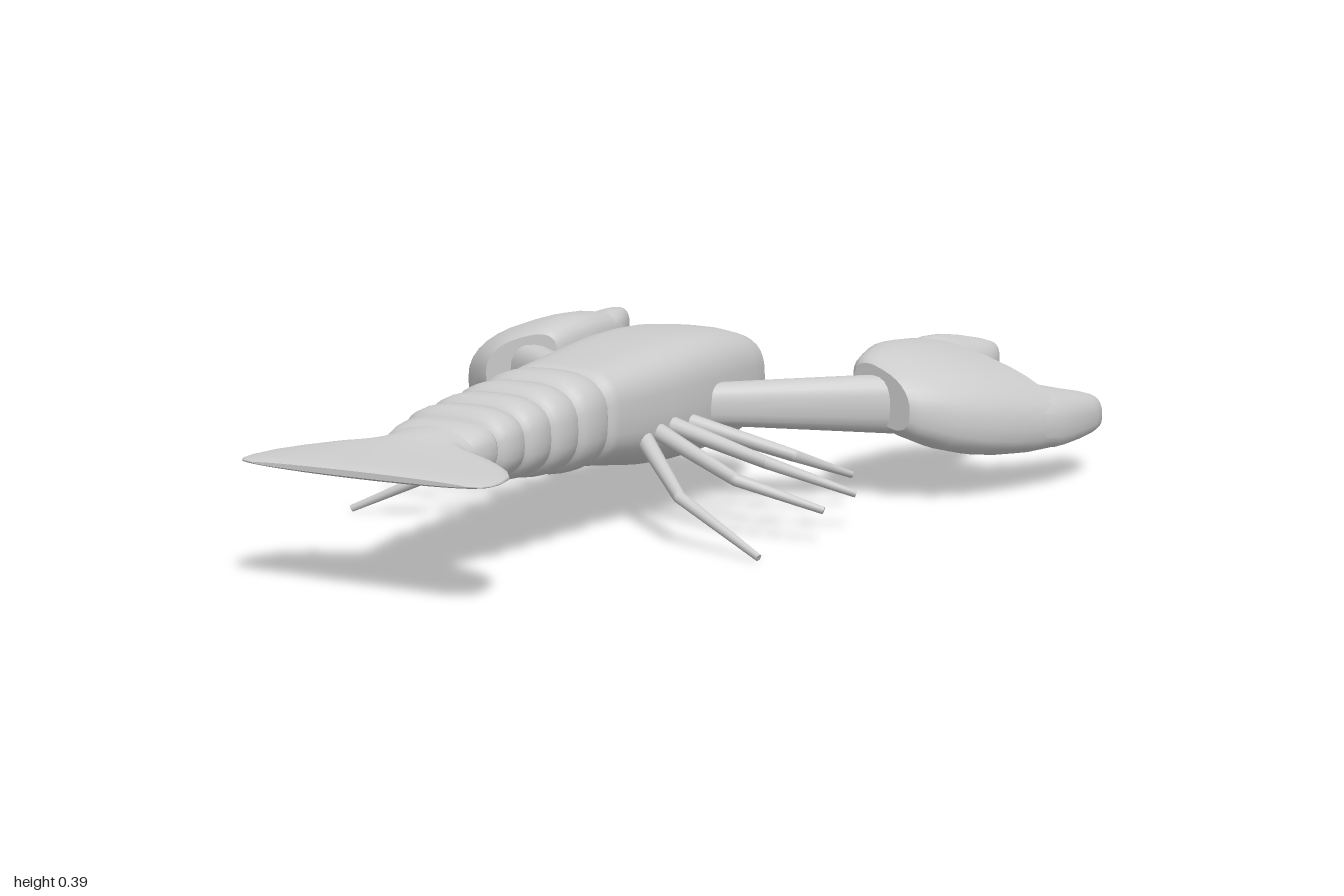
import * as THREE from 'three';

const material = new THREE.MeshStandardMaterial({ color: 0xcccccc });

// Closed skin over rounded cross-sections stacked along z.
// Ring: z, x, y (centre), w, h (half sizes), n (squareness above), nb (below), tilt (dy/dx), skew (dz/dx)
function loft(rings, sides = 28) {
  if (rings[0].z > rings[rings.length - 1].z) rings = [...rings].reverse();
  const pos = [], index = [];
  const pow = (v, n) => Math.sign(v) * Math.abs(v) ** (2 / n);
  const addRing = ({ z, x = 0, y = 0, w, h, n = 2, nb = n, tilt = 0, skew = 0 }) => {
    for (let j = 0; j < sides; j++) {
      const a = (j / sides) * Math.PI * 2, s = Math.sin(a);
      const k = s < 0 ? nb : n;
      const dx = w * pow(Math.cos(a), k);
      pos.push(x + dx, y + h * pow(s, k) + tilt * dx, z + skew * dx);
    }
  };
  rings.forEach(addRing);
  for (let i = 0; i < rings.length - 1; i++) {
    for (let j = 0; j < sides; j++) {
      const a = i * sides + j, b = i * sides + (j + 1) % sides;
      index.push(a, b, a + sides, b, b + sides, a + sides);
    }
  }
  // End caps have their own corners, so their edges stay sharp
  [rings[0], rings[rings.length - 1]].forEach((r, end) => {
    const start = pos.length / 3;
    addRing(r);
    pos.push(r.x ?? 0, r.y ?? 0, r.z);
    for (let j = 0; j < sides; j++) {
      const a = start + j, b = start + (j + 1) % sides;
      index.push(...(end ? [a, b, start + sides] : [b, a, start + sides]));
    }
  });
  const g = new THREE.BufferGeometry();
  g.setAttribute('position', new THREE.Float32BufferAttribute(pos, 3));
  g.setIndex(index);
  g.computeVertexNormals();
  return g;
}

function part(name, geometry) {
  const m = new THREE.Mesh(geometry, material);
  m.name = name;
  return m;
}

// Tapered limb piece between two points, with half sizes [w, h] at each end
function limb(name, from, to, [w0, h0], [w1, h1], sides, n = 2) {
  const a = new THREE.Vector3(...from), b = new THREE.Vector3(...to);
  const m = part(name, loft([{ z: 0, w: w0, h: h0, n }, { z: a.distanceTo(b), w: w1, h: h1, n }], sides));
  m.position.copy(a);
  m.lookAt(b);
  return m;
}

// Body ring from half width, bottom and top
const bodyRing = (z, w, bottom, top, n = 3.2, nb = 2.7) =>
  ({ z, w, y: (bottom + top) / 2, h: (top - bottom) / 2, n, nb });

function makeBody() {
  const body = new THREE.Group();
  body.name = 'body';
  body.add(part('carapace', loft([
    [-0.533, 0.075, 0.2, 0.295], [-0.528, 0.1, 0.175, 0.318], [-0.512, 0.127, 0.15, 0.337],
    [-0.48, 0.146, 0.13, 0.355], [-0.4, 0.162, 0.114, 0.375], [-0.3, 0.171, 0.107, 0.388],
    [-0.2, 0.175, 0.105, 0.393], [-0.1, 0.173, 0.108, 0.391], [0, 0.167, 0.117, 0.384],
    [0.12, 0.154, 0.136, 0.374], [0.2, 0.145, 0.148, 0.369], [0.222, 0.14, 0.154, 0.364],
    [0.235, 0.122, 0.172, 0.347],
  ].map(r => bodyRing(...r)), 36)));

  // Tail rings bulge between narrow joints
  const joints = [0.225, 0.345, 0.45, 0.55, 0.645, 0.745];
  for (let i = 0; i < 5; i++) {
    const z0 = joints[i], len = joints[i + 1] - z0;
    const w = 0.144 - 0.0045 * i, bottom = 0.148 + 0.012 * i, top = 0.37 - 0.0095 * i;
    const rings = [[0, 0.024], [0.08, 0.011], [0.22, 0.002], [0.5, 0], [0.78, 0.002], [0.92, 0.011], [1, 0.024]]
      .map(([t, inset]) => {
        const shrink = inset + (i === 4 ? 0.018 * t : 0);
        return bodyRing(z0 + t * len, w - shrink, bottom + shrink, top - shrink, 2.8, 2.5);
      });
    body.add(part('tailSegment' + (i + 1), loft(rings, 32)));
  }

  // Tail fan flattens and widens toward the back
  body.add(part('tailFan', loft([
    [0.7, 0.112, 0.054], [0.75, 0.108, 0.05], [0.775, 0.122, 0.044], [0.79, 0.165, 0.038], [0.81, 0.215, 0.034],
    [0.84, 0.252, 0.029], [0.88, 0.28, 0.024], [0.93, 0.293, 0.019], [0.965, 0.292, 0.015],
    [0.985, 0.28, 0.011], [0.995, 0.25, 0.006],
  ].map(([z, w, h]) => ({ z, w, h, y: 0.265 })), 40)));
  return body;
}

function makeClaw(s) {
  const claw = new THREE.Group();
  claw.name = s > 0 ? 'leftClaw' : 'rightClaw';
  // Ring spans x0..x1 on a slab that slopes down to the outside
  const ring = n => ([z, x0, x1, h, skew = 0, lift = 0]) => {
    const x = (x0 + x1) / 2;
    return { z, x: s * x, w: (x1 - x0) / 2, h, n, y: 0.253 - 0.33 * (x - 0.45) + lift, tilt: -0.33 * s, skew: s * skew };
  };
  claw.add(part('palm', loft([
    [-0.415, 0.39, 0.555, 0.062, 0.35], [-0.43, 0.379, 0.582, 0.075, 0.32], [-0.48, 0.37, 0.643, 0.09, 0.2],
    [-0.54, 0.361, 0.693, 0.098, 0.08], [-0.6, 0.361, 0.725, 0.1], [-0.68, 0.37, 0.753, 0.098],
    [-0.762, 0.384, 0.776, 0.088],
  ].map(ring(2.5)))));
  claw.add(part('innerFinger', loft([
    [-0.7, 0.376, 0.58, 0.068], [-0.762, 0.386, 0.568, 0.074, 0, 0.005], [-0.81, 0.402, 0.544, 0.068, 0, 0.012],
    [-0.87, 0.43, 0.544, 0.058, 0, 0.02], [-0.93, 0.467, 0.537, 0.045, 0, 0.027],
    [-0.96, 0.49, 0.53, 0.036, 0, 0.03], [-0.967, 0.503, 0.525, 0.025, 0, 0.03],
  ].map(ring(2.6)))));
  claw.add(part('outerFinger', loft([
    [-0.7, 0.61, 0.758, 0.062], [-0.762, 0.618, 0.776, 0.066], [-0.8, 0.642, 0.782, 0.062],
    [-0.87, 0.683, 0.787, 0.054], [-0.94, 0.712, 0.789, 0.045], [-0.98, 0.73, 0.786, 0.037, 0.15],
    [-0.994, 0.738, 0.77, 0.026, 0.15],
  ].map(ring(2.6)))));
  claw.add(limb('arm', [s * 0.1, 0.238, -0.145], [s * 0.48, 0.224, -0.455], [0.033, 0.045], [0.05, 0.068], 20, 2.5));
  return claw;
}

// Walking legs, front to back: hip, knee, tip
const legs = [
  [[0.1, 0.235, -0.05], [0.37, 0.14, -0.18], [0.44, 0.078, -0.33]],
  [[0.1, 0.235, 0], [0.39, 0.155, -0.008], [0.555, 0.085, -0.108]],
  [[0.1, 0.23, 0.035], [0.37, 0.135, 0.102], [0.555, 0.077, 0.05]],
  [[0.1, 0.225, 0.055], [0.295, 0.11, 0.215], [0.508, 0.011, 0.262]],
];

function makeLeg(points, s, i) {
  const leg = new THREE.Group();
  leg.name = (s > 0 ? 'leftLeg' : 'rightLeg') + (i + 1);
  const [hip, knee, tip] = points.map(([x, y, z]) => [s * x, y, z]);
  leg.add(limb('upperLeg', hip, knee, [0.021, 0.021], [0.014, 0.014], 10));
  leg.add(limb('lowerLeg', knee, tip, [0.014, 0.014], [0.008, 0.008], 10));
  const joint = part('knee', new THREE.SphereGeometry(0.014, 10, 8));
  joint.position.set(...knee);
  leg.add(joint);
  return leg;
}

export function createModel() {
  const model = new THREE.Group();
  model.name = 'lobster';
  model.add(makeBody());
  for (const s of [1, -1]) {
    model.add(makeClaw(s));
    legs.forEach((points, i) => model.add(makeLeg(points, s, i)));
  }
  return model;
}
